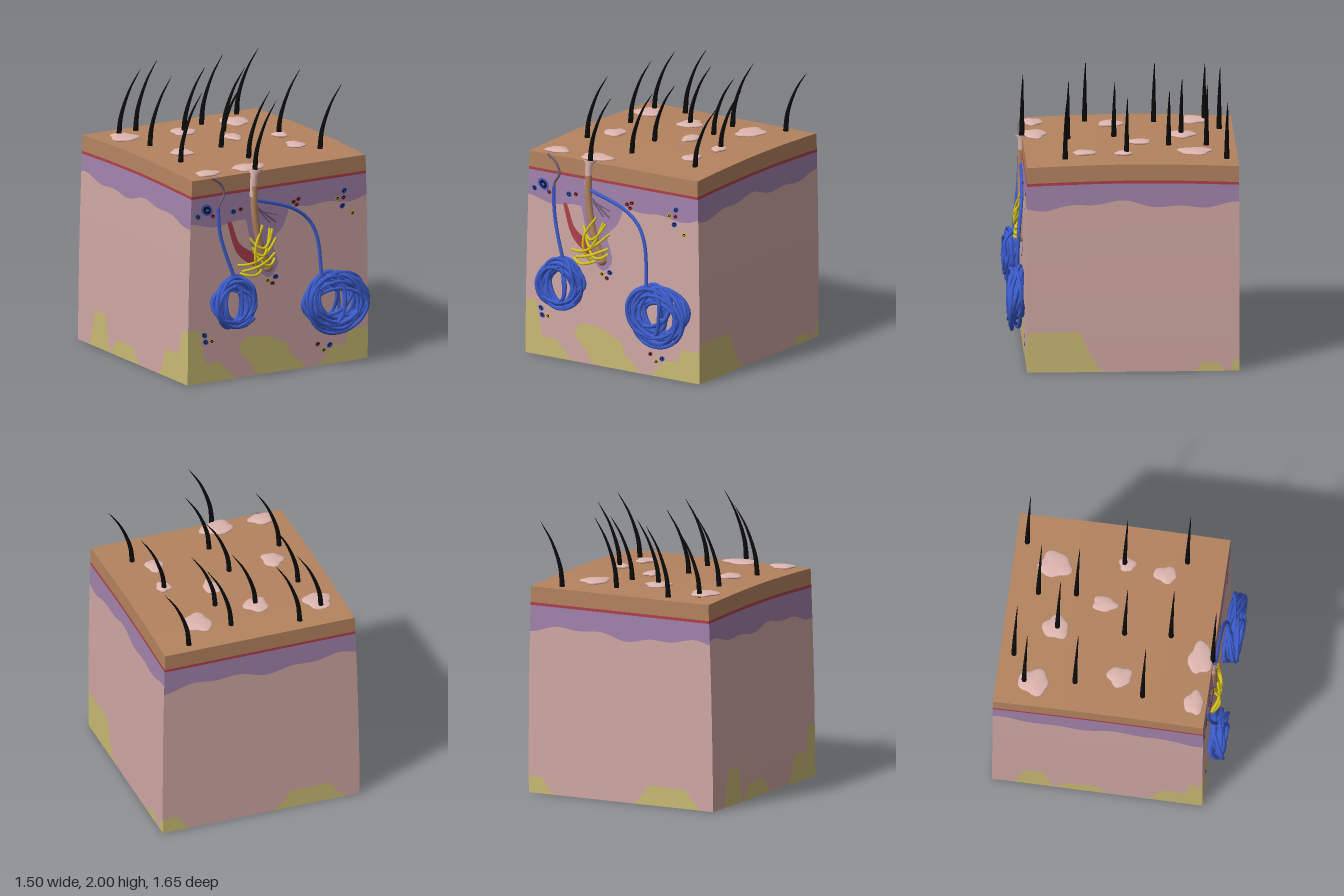
import * as THREE from 'three';

const mat = (name, color) => {
  const m = new THREE.MeshStandardMaterial({ color });
  m.name = name;
  return m;
};
const V = (x, y, z) => new THREE.Vector3(x, y, z);
const FRONT = 0.68;

// Point on the block: u, v in -1..1 across x and z, y is height; the upper layers arch gently
function at(u, v, y) {
  const k = y / 1.5;
  return [0.01 * k + u * (0.748 - 0.028 * k * k), y + 0.02 * k * Math.cos(v * Math.PI / 2), -0.075 + v * 0.755];
}

// Height of the fat at s: the tallest of several flat-topped mounds [centre, half width, height]
const mounds = list => s => Math.max(0, ...list.map(([c, w, h]) => {
  const d = Math.min(1, Math.abs(s - c) / w);
  return h * Math.min(1, 1 + Math.cos(Math.PI * d));
}));

// Grid of quads from a function of (i, j) in 0..1
function grid(nx, ny, fn) {
  const pos = [], idx = [];
  for (let j = 0; j <= ny; j++) for (let i = 0; i <= nx; i++) pos.push(...fn(i / nx, j / ny));
  for (let j = 0; j < ny; j++) for (let i = 0; i < nx; i++) {
    const a = j * (nx + 1) + i, b = a + 1, c = a + nx + 1, d = c + 1;
    idx.push(a, b, d, a, d, c);
  }
  const g = new THREE.BufferGeometry();
  g.setAttribute('position', new THREE.Float32BufferAttribute(pos, 3));
  g.setIndex(idx);
  g.computeVertexNormals();
  return g;
}

// Tube whose radius follows f(t) along the curve
function taperTube(points, segs, sides, f) {
  const curve = new THREE.CatmullRomCurve3(points);
  const g = new THREE.TubeGeometry(curve, segs, 1, sides);
  const p = g.attributes.position, v = V(0, 0, 0);
  for (let i = 0; i <= segs; i++) {
    const c = curve.getPointAt(i / segs), r = f(i / segs);
    for (let j = 0; j <= sides; j++) {
      const k = i * (sides + 1) + j;
      v.fromBufferAttribute(p, k).sub(c).multiplyScalar(r).add(c);
      p.setXYZ(k, v.x, v.y, v.z);
    }
  }
  return g;
}

export function createModel() {
  const root = new THREE.Group();
  root.name = 'skinBlock';
  const M = {
    brown: mat('outerSkinBrown', 0xb4835f),
    red: mat('red', 0xb0404c),
    purple: mat('purple', 0xa283ab),
    pink: mat('dermisPink', 0xd0a8a4),
    fat: mat('fatYellow', 0xcabb74),
    blue: mat('glandBlue', 0x3c5ccc),
    yellow: mat('nerveYellow', 0xd8c81c),
    black: mat('hairBlack', 0x0c0c0c),
    flake: mat('flakePink', 0xddb5ae),
    grey: mat('vesselMauve', 0x75607c),
  };
  const add = (name, geo, m, parent = root) => {
    const mesh = new THREE.Mesh(geo, m);
    mesh.name = name;
    parent.add(mesh);
    return mesh;
  };
  // Tube just in front of the front wall through [x, y] points; bulge pushes its middle forward, end its tip
  const tube = (name, pts, r, m, bulge = 0, end = 0) => {
    const path = pts.map(([x, y], i) => {
      const t = i / (pts.length - 1);
      return V(x, y, FRONT + .008 + bulge * Math.sin(Math.PI * t) + end * t * t);
    });
    add(name, new THREE.TubeGeometry(new THREE.CatmullRomCurve3(path), 40, r, 7), m);
  };
  const plate = (name, pts, z, m) => {
    const [first, ...rest] = pts.map(p => new THREE.Vector2(...p));
    const s = new THREE.Shape();
    s.moveTo(first.x, first.y);
    s.splineThru([...rest, first]);
    add(name, new THREE.ShapeGeometry(s, 6), m).position.z = z;
  };

  // Four walls of stacked layers; s runs left to right as seen from outside
  function wall(name, map, fat, base, slope, phase) {
    const fatTop = mounds(fat);
    const purpleEdge = s => base + slope * s + .02 * Math.sin(5 * s + phase) + .013 * Math.sin(12 * s + phase);
    const level = y => () => y;
    const band = (part, lo, hi, m, rows) => add(name + part, grid(100, rows, (i, j) => {
      const s = i * 2 - 1;
      return map(s, lo(s) + (hi(s) - lo(s)) * j);
    }), m);
    band('Fat', level(0), fatTop, M.fat, 2);
    band('Dermis', fatTop, purpleEdge, M.pink, 6);
    band('UpperDermis', purpleEdge, level(1.362), M.purple, 2);
    band('RedLayer', level(1.362), level(1.382), M.red, 1);
    band('OuterSkin', level(1.382), level(1.498), M.brown, 1);
  }
  wall('front', (s, y) => at(s, 1, y), [[-1, .26, .4], [-.9, .5, .14], [1, .4, .23], [.8, .4, .13]], 1.18, .03, 1);
  wall('right', (s, y) => at(1, -s, y), [[-.75, .5, .29], [.72, .16, .06], [1, .1, .09]], 1.21, 0, 2.5);
  wall('back', (s, y) => at(-s, -1, y), [[-1, .3, .12], [.5, .4, .14]], 1.2, 0, 4);
  wall('left', (s, y) => at(-1, s, y), [[-.6, .2, .26], [-.15, .3, .11], [.75, .3, .2], [1, .25, .38]], 1.19, -.02, 0);
  add('topSkin', grid(4, 16, (i, j) => at(i * 2 - 1, 1 - j * 2, 1.498)), M.brown);
  add('underside', grid(1, 1, (i, j) => at(i * 2 - 1, j * 2 - 1, 0)), M.pink);

  // Painted areas on the front wall
  plate('fatLobe', [[-.33, .2], [-.26, .29], [-.08, .27], [.07, .2], [.11, .12], [.22, .01], [0, .005], [-.17, .01], [-.22, .09]], FRONT + .002, M.fat);
  plate('follicleSurround', [[-.28, 1.22], [.06, 1.22], [.05, 1.08], [-.04, .97], [0, .8], [-.08, .71], [-.19, .82], [-.24, 1.05]], FRONT + .002, M.purple);
  plate('hairMuscle', [[-.42, 1.15], [-.385, 1.15], [-.32, .99], [-.19, .89], [-.18, .8], [-.34, .92]], FRONT + .004, M.red);

  // Small cut vessels: coloured rim, dark middle, coloured core
  function vessel(x, y, r, colour) {
    const g = new THREE.Group();
    g.name = 'vesselSpot';
    [colour, M.black, colour].forEach((m, j) => {
      add(['rim', 'middle', 'core'][j], new THREE.CircleGeometry(r * (1 - .35 * j), 14), m, g).position.z = j * .0025;
    });
    g.position.set(x, y, FRONT + .004);
    g.scale.y = .8;
    g.rotation.z = x;
    root.add(g);
  }
  vessel(-.59, 1.27, .05, M.blue);
  for (const [x, y] of [[-.665, 1.23], [-.37, 1.23], [.55, 1.26], [.535, 1.15], [-.61, .35], [-.6, .3], [-.02, .705], [.43, .14]]) vessel(x, y, .024, M.blue);
  for (const [x, y] of [[-.54, 1.22], [-.31, 1.24], [.13, 1.235], [.17, 1.25], [.155, 1.21], [.545, 1.21], [-.045, .66], [.33, .16]]) vessel(x, y, .02, M.red);
  for (const [x, y] of [[.62, 1.085], [.495, 1.21], [-.55, .3], [-.085, .685], [.38, .11]]) vessel(x, y, .019, M.yellow);

  // Hairs bending toward +x, rooted at [x, z]
  const roots = [
    [-.33, -.73], [-.53, -.63], [.52, -.75], [.15, -.62], [-.1, -.45], [.17, -.35], [-.49, -.27],
    [.44, -.04], [-.08, .03], [-.53, .22], [-.05, .36], [.52, .4], [-.19, .68],
  ];
  roots.forEach(([x, z], i) => {
    const height = .5 - .02 * (i % 3);
    const pts = [0, .3, .7, 1].map(t => V(x + .18 * t ** 2, 1.5 + height * t, z));
    add('hair', taperTube(pts, 16, 8, t => .019 * (1 - t) ** .8 + .0006), M.black);
  });

  // Flakes lying on top: [x, z, half width, half depth]
  const flakes = [
    [-.53, -.56, .1, .11], [-.1, -.46, .09, .095], [.37, -.53, .1, .12], [.12, -.14, .06, .09],
    [.44, -.02, .055, .062], [-.41, .04, .078, .09], [.4, .26, .064, .085], [-.53, .59, .092, .07], [-.19, .59, .125, .085],
  ];
  flakes.forEach(([x, z, a, b], n) => {
    const g = new THREE.SphereGeometry(1, 28, 10), p = g.attributes.position;
    for (let i = 0; i < p.count; i++) {
      const t = Math.atan2(p.getZ(i), p.getX(i));
      const k = 1 + .1 * Math.sin(3 * t + n) + .07 * Math.sin(5 * t + n * 2);
      p.setXYZ(i, p.getX(i) * k * a, p.getY(i) * .016, p.getZ(i) * k * b);
    }
    g.computeVertexNormals();
    add('flake', g, M.flake).position.set(x, 1.508 + .02 * Math.cos((z + .075) / .755 * Math.PI / 2), z);
  });

  // Follicle with its bulb and sheath at the front
  const follicle = [[-.2, 1.4], [-.2, 1.25], [-.18, 1.08], [-.14, .92], [-.08, .78]].map(([x, y]) => V(x, y, .686));
  add('follicle', taperTube(follicle, 40, 12, t => .026 + .02 * Math.max(0, t - .6)), M.brown);
  add('follicleBulb', new THREE.SphereGeometry(.036, 14, 10), M.brown).position.set(-.083, .785, .686);
  const sheath = [[-.19, 1.525], [-.2, 1.45], [-.205, 1.32]].map(([x, y]) => V(x, y, .68));
  add('follicleSheath', taperTube(sheath, 16, 12, t => .028 + .035 * Math.max(0, 1 - t * 5)), M.flake);

  // Nerve basket: sagging arcs [x0, y0, x1, y1, sag] around the follicle
  const arcs = [
    [-.34, .83, -.02, .99, .05], [-.32, .77, -.14, .77, .02], [-.3, .78, -.03, .88, .01], [-.22, .95, -.07, 1.07, .12],
    [-.24, 1.02, -.05, 1.06, .1], [-.21, .92, -.03, .84, .07],
  ];
  for (const [x0, y0, x1, y1, sag] of arcs) {
    const pts = [0, .25, .5, .75, 1].map(t => [x0 + (x1 - x0) * t, y0 + (y1 - y0) * t - sag * Math.sin(Math.PI * t)]);
    tube('nerve', pts, .01, M.yellow, .045);
  }
  tube('nerve', [[-.13, 1.1], [-.21, .96], [-.21, .84], [-.16, .76]], .01, M.yellow, .045);

  // Branching small vessel beside the follicle
  tube('branch', [[-.18, 1.24], [-.12, 1.19], [-.02, 1.11]], .007, M.grey);
  tube('branch', [[-.13, 1.2], [-.01, 1.16]], .005, M.grey);
  tube('branch', [[-.16, 1.21], [-.07, 1.11]], .005, M.grey);

  // Ducts leading into the coiled glands
  tube('poreDuct', [[-.55, 1.5], [-.48, 1.45], [-.45, 1.37], [-.49, 1.3], [-.5, 1.24]], .009, M.grey);
  tube('leftDuct', [[-.5, 1.27], [-.49, 1.1], [-.455, .95], [-.37, .7]], .013, M.blue, 0, .05);
  tube('rightDuct', [[-.18, 1.29], [.1, 1.2], [.23, 1.11], [.3, .98], [.335, .64]], .013, M.blue, 0, .05);

  // Coiled glands: loops whose centre, size and tilt drift from turn to turn
  function gland(name, cx, cy, rx, ry, loops, seed) {
    const rnd = () => (seed = (seed * 16807) % 2147483647) / 2147483647;
    const turns = [];
    for (let i = 0; i <= loops; i++) {
      const k = .45 + .53 * rnd(), q = .45 + .53 * rnd();
      turns.push([(1 - k) * (rnd() * 2 - 1), (1 - q) * (rnd() * 2 - 1), k, q, rnd() * 6.3, .025 + .035 * rnd()]);
    }
    const pts = [], per = 10;
    for (let n = 0; n < loops * per; n++) {
      const i = Math.floor(n / per), f = (n % per) / per, a = f * Math.PI * 2;
      const [ox, oy, k, q, ph, dz] = turns[i].map((v, j) => v + (turns[i + 1][j] - v) * f);
      pts.push(V(cx + rx * (ox + k * Math.cos(a)), cy + ry * (oy + q * Math.sin(a)), .75 + dz * Math.sin(a + ph)));
    }
    add(name, new THREE.TubeGeometry(new THREE.CatmullRomCurve3(pts), loops * 36, .0135, 7), M.blue);
  }
  gland('rightSideGland', -.405, .575, .19, .195, 18, 71);
  gland('leftSideGland', .425, .475, .265, .235, 22, 1234);

  return root;
}
